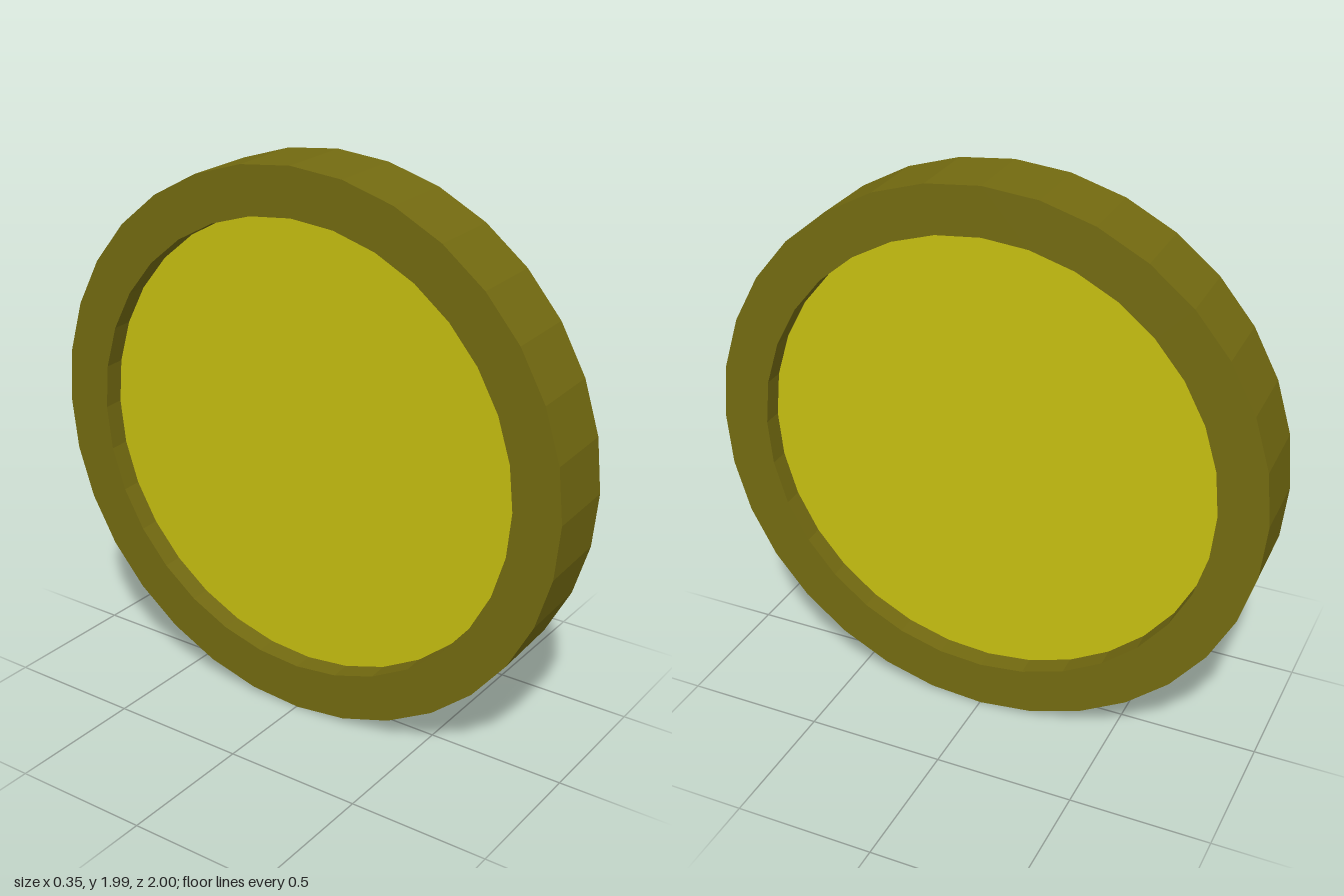
import * as THREE from 'three';

const SIDES = 32;
const OUTER = 0.995, INNER = 0.825; // rim radii
const HALF = 0.14, FACE = 0.064;    // half thickness of rim and of recessed centre

export function createModel() {
  const model = new THREE.Group();
  model.name = 'coin';

  const rimMaterial = new THREE.MeshStandardMaterial({ color: 0x736a10, flatShading: true });
  const faceMaterial = new THREE.MeshStandardMaterial({ color: 0xc6be10, flatShading: true });

  // The disc lies on the x axis, leaning very slightly
  const disc = new THREE.Group();
  disc.name = 'disc';
  disc.position.y = 0.997;
  disc.rotation.set(0, 0.0325, 0.014);
  model.add(disc);

  // Raised rim: recess wall, flat ring, outer edge, flat ring, recess wall
  const profile = [
    [INNER, -FACE], [INNER, -HALF], [OUTER, -HALF],
    [OUTER, HALF], [INNER, HALF], [INNER, FACE],
  ].map(([r, y]) => new THREE.Vector2(r, y));
  const rim = new THREE.Mesh(new THREE.LatheGeometry(profile, SIDES), rimMaterial);
  rim.name = 'rim';
  rim.rotation.z = -Math.PI / 2;
  disc.add(rim);

  // Recessed round face on each side
  for (const side of [1, -1]) {
    const face = new THREE.Mesh(new THREE.CircleGeometry(INNER, SIDES), faceMaterial);
    face.name = side > 0 ? 'leftFace' : 'rightFace';
    face.position.x = side * FACE;
    face.rotation.y = side * Math.PI / 2;
    disc.add(face);
  }

  return model;
}
